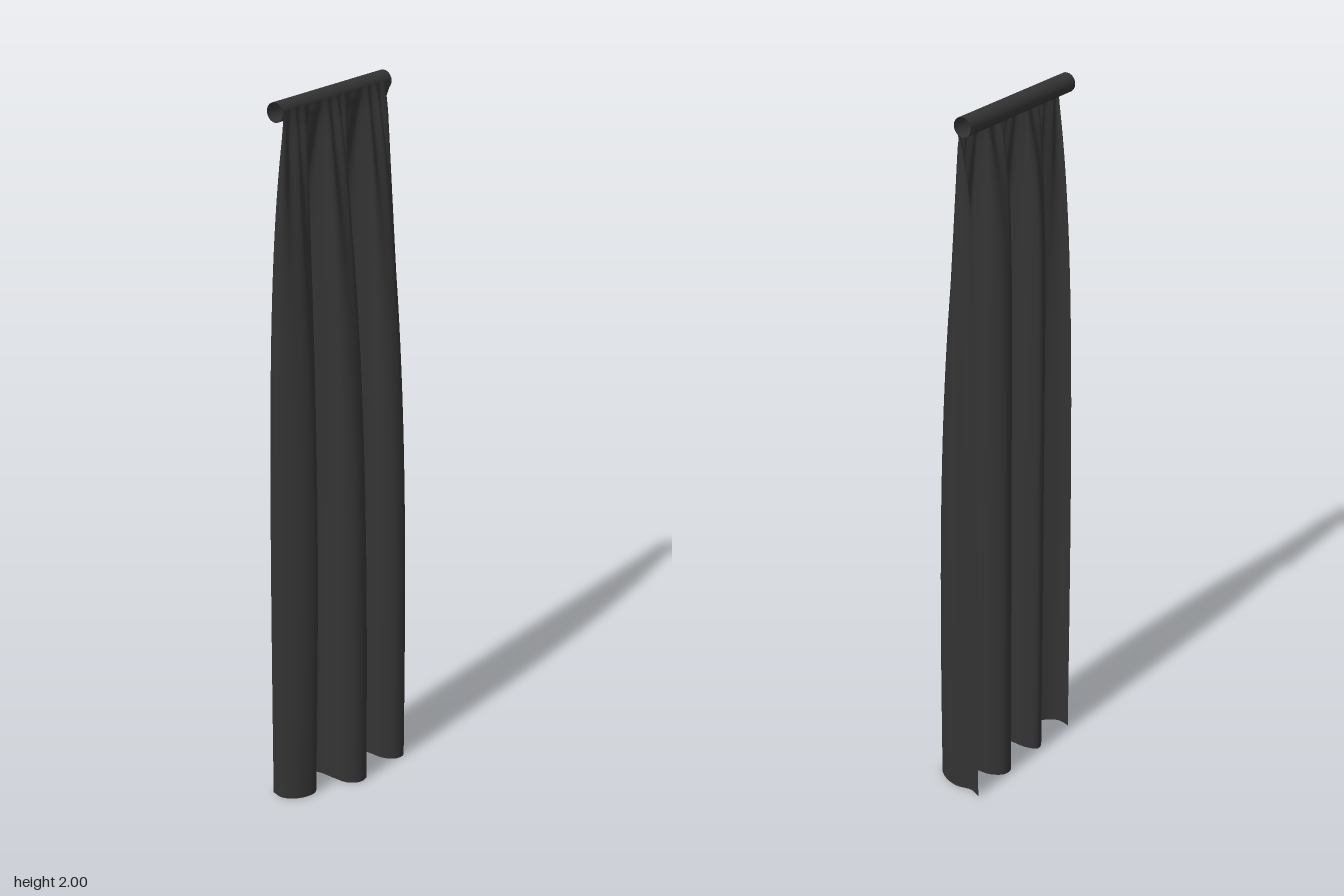
import * as THREE from 'three';

const TOP = 1.982;

// Floor plan of the hem: three deep folds, given as [x, z]
const HEM = [
  [-0.08, -0.218], [-0.045, -0.207], [0, -0.216], [0.045, -0.205], [0.081, -0.175],
  [0.077, -0.145], [0.045, -0.124], [0, -0.121], [-0.045, -0.115], [-0.077, -0.09],
  [-0.077, -0.06], [-0.045, -0.041], [0, -0.037], [0.045, -0.034], [0.075, -0.008],
  [0.075, 0.022], [0.05, 0.046], [0, 0.052], [-0.045, 0.054], [-0.078, 0.07],
  [-0.07, 0.098], [-0.03, 0.114], [0, 0.126], [0.013, 0.15], [0.007, 0.178],
  [-0.012, 0.206], [-0.042, 0.224], [-0.08, 0.219],
];

// Cloth sheet that widens from a gathered heading into the folds of the hem
function curtainGeometry(cols, rows) {
  const hem = new THREE.CatmullRomCurve3(HEM.map(([x, z]) => new THREE.Vector3(x, 0, z)))
    .getSpacedPoints(cols);
  const geo = new THREE.PlaneGeometry(1, 1, cols, rows);
  const pos = geo.attributes.position;
  for (let j = 0; j <= rows; j++) {
    const drop = (j / rows) ** 2.2; // rows are closer together near the top
    const y = TOP * (1 - drop);
    const out = 1 - (1 - drop) ** 3; // folds on the room side open slowly
    const gather = (1 - drop) ** 6; // small pleats fade downwards
    const pinch = Math.min(1, drop * 25);
    const belly = Math.sin(Math.PI * drop);
    for (let i = 0; i <= cols; i++) {
      const u = i / cols;
      const h = hem[i];
      const rel = h.x + 0.022;
      // Folds on the far side open quickly below the rod, slower at one edge
      const rate = 12.5 - 7.5 * u ** 6;
      const back = 1 - Math.exp(-rate * Math.max(0, drop - 0.01));
      const topZ = THREE.MathUtils.lerp(-0.215 + 0.428 * u, h.z, 0.45);
      const pleat = Math.sin(topZ * 155 + 0.8 * Math.sin(topZ * 40));
      // The shallow last fold swells at mid height
      const swell = u > 0.75 ? 0.45 * belly * Math.max(0, rel) : 0;
      const x = -0.02 + (rel - 0.002) * (rel > 0 ? out : back) + swell
        + pleat * gather * (0.002 + 0.007 * pinch);
      const z = THREE.MathUtils.lerp(topZ, h.z, 1 - (1 - drop) ** 4);
      pos.setXYZ(j * (cols + 1) + i, x, y, z);
    }
  }
  geo.computeVertexNormals();
  return geo;
}

export function createModel() {
  const group = new THREE.Group();
  group.name = 'curtain';
  const material = new THREE.MeshStandardMaterial({ color: 0x333333, side: THREE.DoubleSide });

  // Hollow rail along z
  const rod = new THREE.Mesh(
    new THREE.CylinderGeometry(0.026, 0.026, 0.438, 20, 1, true),
    material,
  );
  rod.name = 'curtainRod';
  rod.rotation.x = Math.PI / 2;
  rod.position.set(-0.049, 1.974, -0.007);
  group.add(rod);

  // Draped cloth
  const cloth = new THREE.Mesh(curtainGeometry(180, 48), material);
  cloth.name = 'drape';
  group.add(cloth);

  return group;
}
